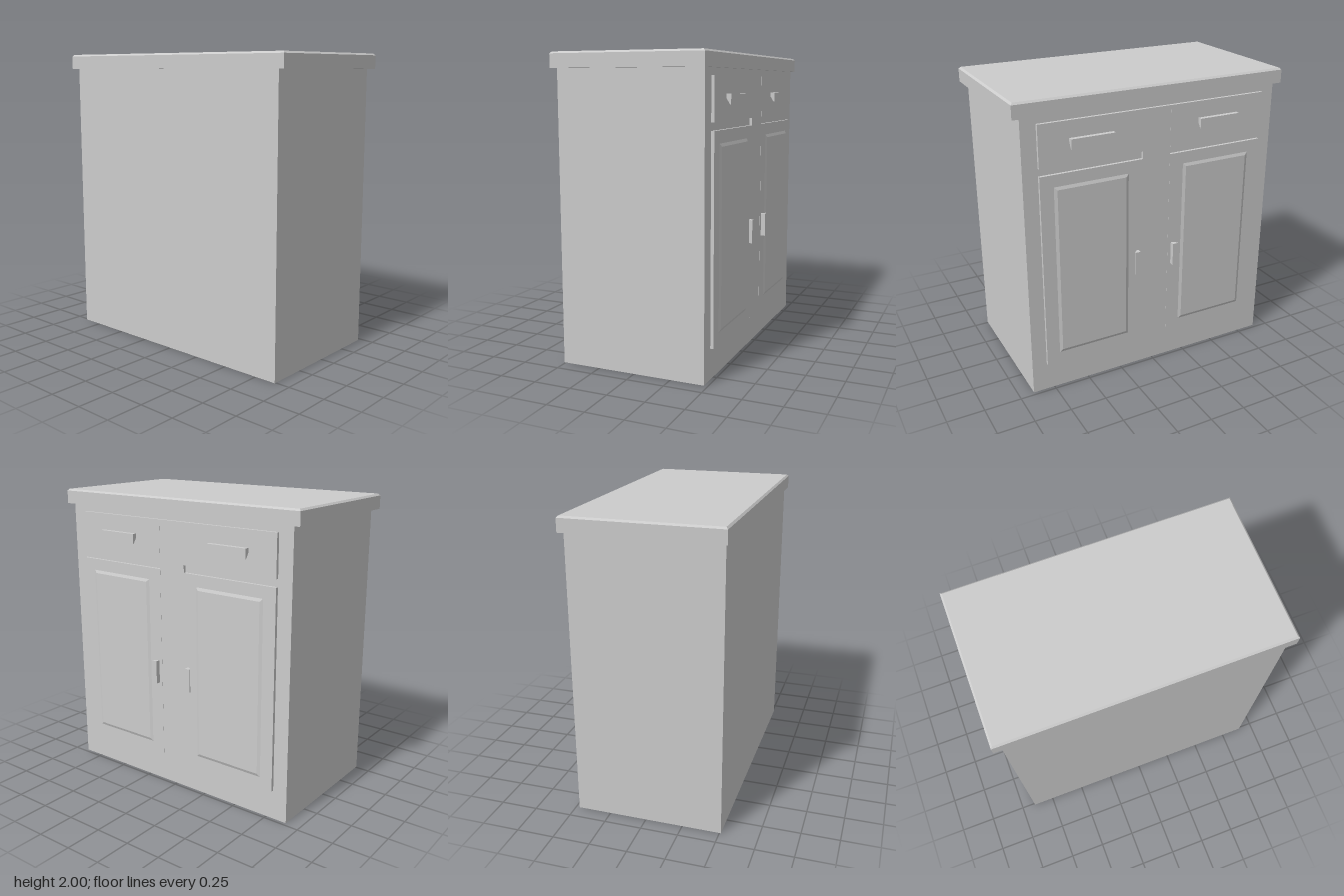
import * as THREE from 'three';

const material = new THREE.MeshStandardMaterial({ color: 0xcccccc, flatShading: true });

function add(parent, name, geometry) {
  const mesh = new THREE.Mesh(geometry, material);
  mesh.name = name;
  parent.add(mesh);
  return mesh;
}

// Box given by its lower and upper limits on each axis
function boxBetween([x0, x1], [y0, y1], [z0, z1]) {
  return new THREE.BoxGeometry(x1 - x0, y1 - y0, z1 - z0)
    .translate((x0 + x1) / 2, (y0 + y1) / 2, (z0 + z1) / 2);
}

// Slab whose upper face is drawn in on all four sides
function bevelSlab(w, h, d, inset) {
  const g = new THREE.BoxGeometry(w, h, d);
  const p = g.attributes.position;
  for (let i = 0; i < p.count; i++) {
    if (p.getY(i) > 0) {
      p.setX(i, p.getX(i) - Math.sign(p.getX(i)) * inset);
      p.setZ(i, p.getZ(i) - Math.sign(p.getZ(i)) * inset);
    }
  }
  g.computeVertexNormals();
  return g;
}

// Finger pull: a wedge with a flat face and a sloping underside
function pull(length, width) {
  const shape = new THREE.Shape([
    new THREE.Vector2(0, 0), new THREE.Vector2(0.031, 0),
    new THREE.Vector2(0.031, -width), new THREE.Vector2(0.024, -width),
    new THREE.Vector2(0, -width * 0.4),
  ]);
  return new THREE.ExtrudeGeometry(shape, { depth: length, bevelEnabled: false })
    .translate(0, 0, -length / 2);
}

export function createModel() {
  const cabinet = new THREE.Group();
  cabinet.name = 'cabinet';
  const face = 0.475, front = 0.495;

  add(cabinet, 'carcass', boxBetween([-0.51, face], [0, 1.9], [-0.9, 0.9]));

  // Worktop with a bevelled upper edge
  const worktop = new THREE.Group();
  worktop.name = 'worktop';
  cabinet.add(worktop);
  add(worktop, 'worktopSlab', boxBetween([-0.53, front], [1.9, 1.988], [-0.95, 0.95]));
  add(worktop, 'worktopBevel', bevelSlab(1.025, 0.012, 1.9, 0.012))
    .position.set(-0.0175, 1.994, 0);

  add(cabinet, 'centreStile', boxBetween([face, front - 0.001], [0.195, 1.855], [-0.1, 0.1]));

  for (const side of [1, -1]) {
    const label = side > 0 ? 'left' : 'right';
    const zRange = side > 0 ? [0.1, 0.8] : [-0.8, -0.1];

    // Drawer with its horizontal pull
    const drawer = new THREE.Group();
    drawer.name = label + 'Drawer';
    cabinet.add(drawer);
    add(drawer, 'drawerFront', boxBetween([face, front], [1.58, 1.855], zRange));
    add(drawer, 'drawerPull', pull(0.295, 0.065)).position.set(front, 1.745, side * 0.453);

    // Door with a raised panel and a vertical pull
    const door = new THREE.Group();
    door.name = label + 'Door';
    cabinet.add(door);
    add(door, 'doorFront', boxBetween([face, front], [0.2, 1.53], zRange));
    const panel = add(door, 'raisedPanel', bevelSlab(1.175, 0.008, 0.51, 0.02));
    panel.rotation.z = -Math.PI / 2;
    panel.position.set(front + 0.004, 0.8625, side * 0.455);
    const doorPull = add(door, 'doorPull', pull(0.16, 0.038));
    doorPull.rotation.x = -side * Math.PI / 2;
    doorPull.position.set(front, 0.815, side * 0.125);
  }
  return cabinet;
}
